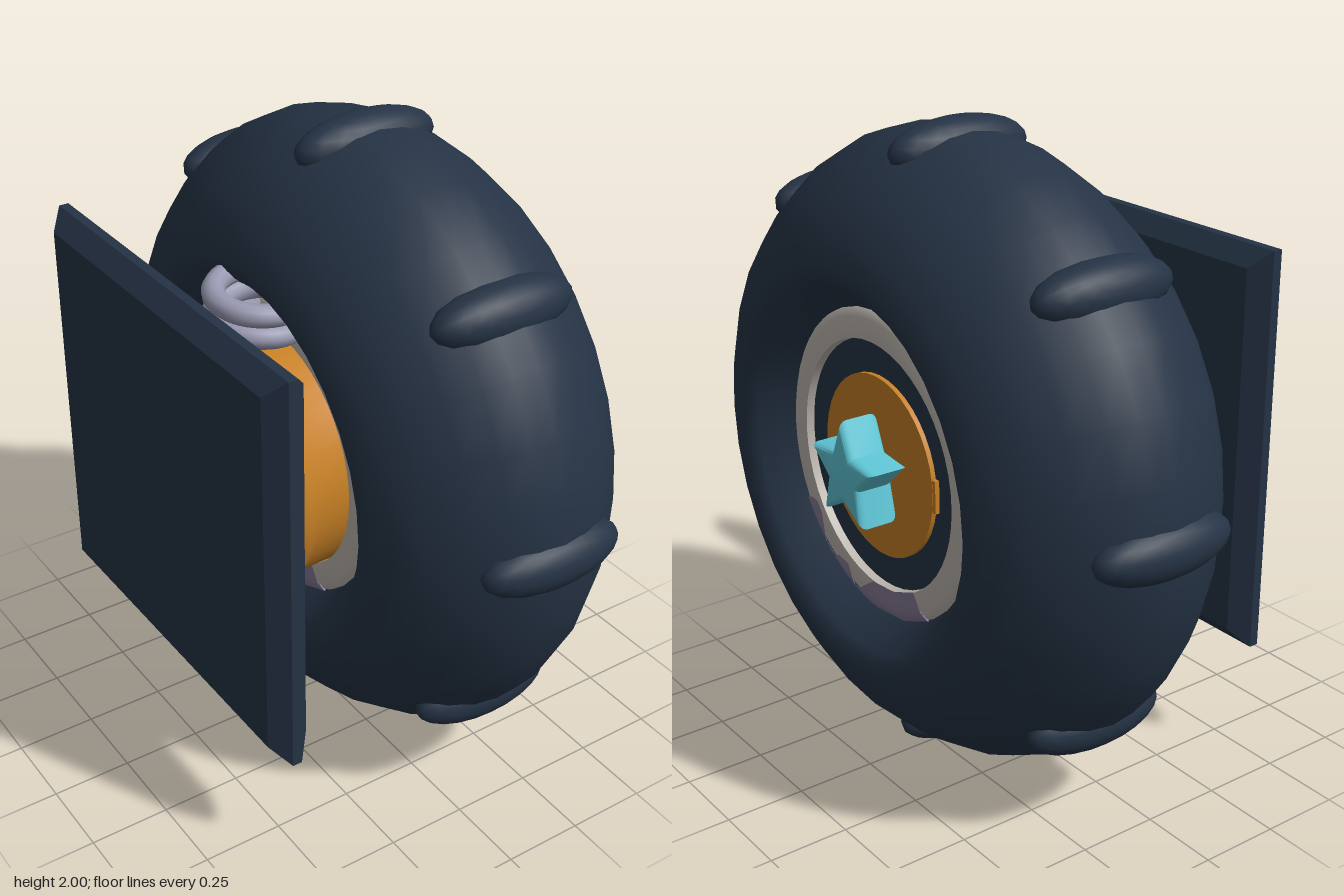
import * as THREE from 'three';
import { toCreasedNormals } from 'three/addons/utils/BufferGeometryUtils.js';

const flat = (name, color, side = THREE.FrontSide) => {
  const m = new THREE.MeshStandardMaterial({ color, side });
  m.name = name;
  return m;
};

const v2 = (points) => points.map(([r, h]) => new THREE.Vector2(r, h));

// Lathe around the x axis; profile points are [radius, x]
function latheX(points, segments, crease) {
  const g = new THREE.LatheGeometry(v2(points), segments).rotateZ(-Math.PI / 2);
  return crease ? toCreasedNormals(g, crease) : g;
}

// Adds the reversed mirror half to a profile that ends at the centre plane
const mirrorProfile = (half) => [...half, ...half.filter(([, x]) => x !== 0).reverse().map(([r, x]) => [r, -x])];

// Splash that follows the rim face, from a wavy inner edge to the outer edge
function splashGeometry() {
  const edge = [[-30, 0.484], [-31, 0.44], [-30.5, 0.384], [-14, 0.382], [3, 0.382], [7, 0.403], [13, 0.448],
    [17, 0.45], [23, 0.41], [30, 0.425], [33, 0.463], [40, 0.447], [50, 0.4], [55, 0.4], [58, 0.42], [59, 0.46], [60, 0.49]];
  const face = (r) => (r < 0.45 ? 0.31 : r < 0.48 ? 0.31 - (r - 0.45) * 0.667 : 0.29 - (r - 0.48) * 3);
  const pos = [], index = [], steps = 6;
  edge.forEach(([deg, inner], i) => {
    const a = THREE.MathUtils.degToRad(deg);
    for (let j = 0; j <= steps; j++) {
      const r = inner + (0.49 - inner) * j / steps;
      const out = r + (r > 0.47 ? 0.004 : 0);
      pos.push(face(r) + 0.006, -out * Math.cos(a), out * Math.sin(a));
      if (i < edge.length - 1 && j < steps) {
        const p = i * (steps + 1) + j, q = p + steps + 1;
        index.push(p, q, p + 1, q, q + 1, p + 1);
      }
    }
  });
  const g = new THREE.BufferGeometry();
  g.setAttribute('position', new THREE.Float32BufferAttribute(pos, 3));
  g.setIndex(index);
  g.computeVertexNormals();
  return g;
}

// Rounded five-pointed star facing +x
function starGeometry() {
  const shape = new THREE.Shape(v2(Array.from({ length: 10 }, (_, i) => {
    const r = i % 2 ? 0.083 : 0.17, a = Math.PI / 2 + i * Math.PI / 5;
    return [r * Math.cos(a), r * Math.sin(a)];
  })));
  const g = new THREE.ExtrudeGeometry(shape, {
    depth: 0.08, bevelThickness: 0.025, bevelSize: 0.022, bevelOffset: -0.022, bevelSegments: 4,
  });
  return toCreasedNormals(g.rotateY(Math.PI / 2), 0.7);
}

export function createModel() {
  const model = new THREE.Group();
  model.name = 'wheelAssembly';
  const navy = flat('navyRubber', 0x253345);
  const orange = flat('orangePaint', 0xc57f25);
  const white = flat('offWhite', 0xbdb7b0);
  const purple = flat('purpleSplash', 0x857a96, THREE.DoubleSide);
  const cyan = flat('cyanStar', 0x5fc6d6);
  const grey = flat('springGrey', 0x999ab2);

  const add = (parent, name, geometry, material, x = 0, y = 0, z = 0) => {
    const mesh = new THREE.Mesh(geometry, material);
    mesh.name = name;
    mesh.position.set(x, y, z);
    parent.add(mesh);
    return mesh;
  };

  const wheel = new THREE.Group();
  wheel.name = 'wheel';
  wheel.position.set(0.14, 1, 0);
  model.add(wheel);

  // Tire with rolled inner lips
  add(wheel, 'tire', latheX(mirrorProfile([[0.46, -0.27], [0.5, -0.33], [0.55, -0.39], [0.58, -0.413], [0.62, -0.42],
    [0.7, -0.39], [0.79, -0.335], [0.87, -0.25], [0.93, -0.16], [0.96, -0.08], [0.97, 0]]), 32), navy);

  // Eight tread lugs
  for (let i = 0; i < 8; i++) {
    const a = i * Math.PI / 4;
    const lug = add(wheel, 'treadLug', new THREE.SphereGeometry(1, 20, 12), navy, 0, 0.908 * Math.cos(a), 0.908 * Math.sin(a));
    lug.scale.set(0.235, 0.09, 0.09);
    lug.rotation.x = a;
  }

  // Rim, hub plate and cap
  add(wheel, 'rim', latheX(mirrorProfile([[0.38, -0.27], [0.385, -0.31], [0.45, -0.31], [0.48, -0.29],
    [0.49, -0.26], [0.49, 0]]), 48, 0.8), white);
  add(wheel, 'hubPlate', new THREE.CylinderGeometry(0.384, 0.384, 0.57, 48).rotateZ(Math.PI / 2), navy);
  add(wheel, 'hubCap', new THREE.CylinderGeometry(0.28, 0.28, 0.1, 40).rotateZ(Math.PI / 2), orange, 0.25);
  add(wheel, 'capNotch', new THREE.BoxGeometry(0.06, 0.1, 0.04), orange, 0.269, 0, -0.271);
  add(wheel, 'star', starGeometry(), cyan, 0.325);

  // Splashes on both rim faces
  const splash = splashGeometry();
  add(wheel, 'outerSplash', splash, purple);
  add(wheel, 'innerSplash', splash, purple).rotation.y = Math.PI;

  // Drum behind the wheel
  add(model, 'drum', latheX([[0, -0.45], [0.375, -0.45], [0.39, -0.43], [0.41, -0.34], [0.405, -0.31],
    [0.385, -0.27], [0.38, -0.1]], 40, 0.6), orange, 0, 1);

  // Coil spring
  const coil = Array.from({ length: 73 }, (_, i) => {
    const t = i / 12 * Math.PI;
    return new THREE.Vector3(0.125 * Math.cos(t), 0.068 * t / (2 * Math.PI), 0.125 * Math.sin(t));
  });
  add(model, 'spring', new THREE.TubeGeometry(new THREE.CatmullRomCurve3(coil.slice(12)), 100, 0.035, 10), grey, -0.23, 1.36, 0);
  const tip = coil[72];
  add(model, 'springTip', new THREE.SphereGeometry(0.035, 10, 8), grey, tip.x - 0.23, tip.y + 1.36, tip.z);

  // Bevelled mounting plate
  const s = 0.58;
  const plate = new THREE.ExtrudeGeometry(new THREE.Shape(v2([[-s, -s], [s, -s], [s, s], [-s, s]])), {
    depth: 0.03, bevelThickness: 0.05, bevelSize: 0.055, bevelSegments: 1,
  });
  add(model, 'mountingPlate', plate.rotateY(Math.PI / 2), navy, -0.53, 1, 0);

  return model;
}
